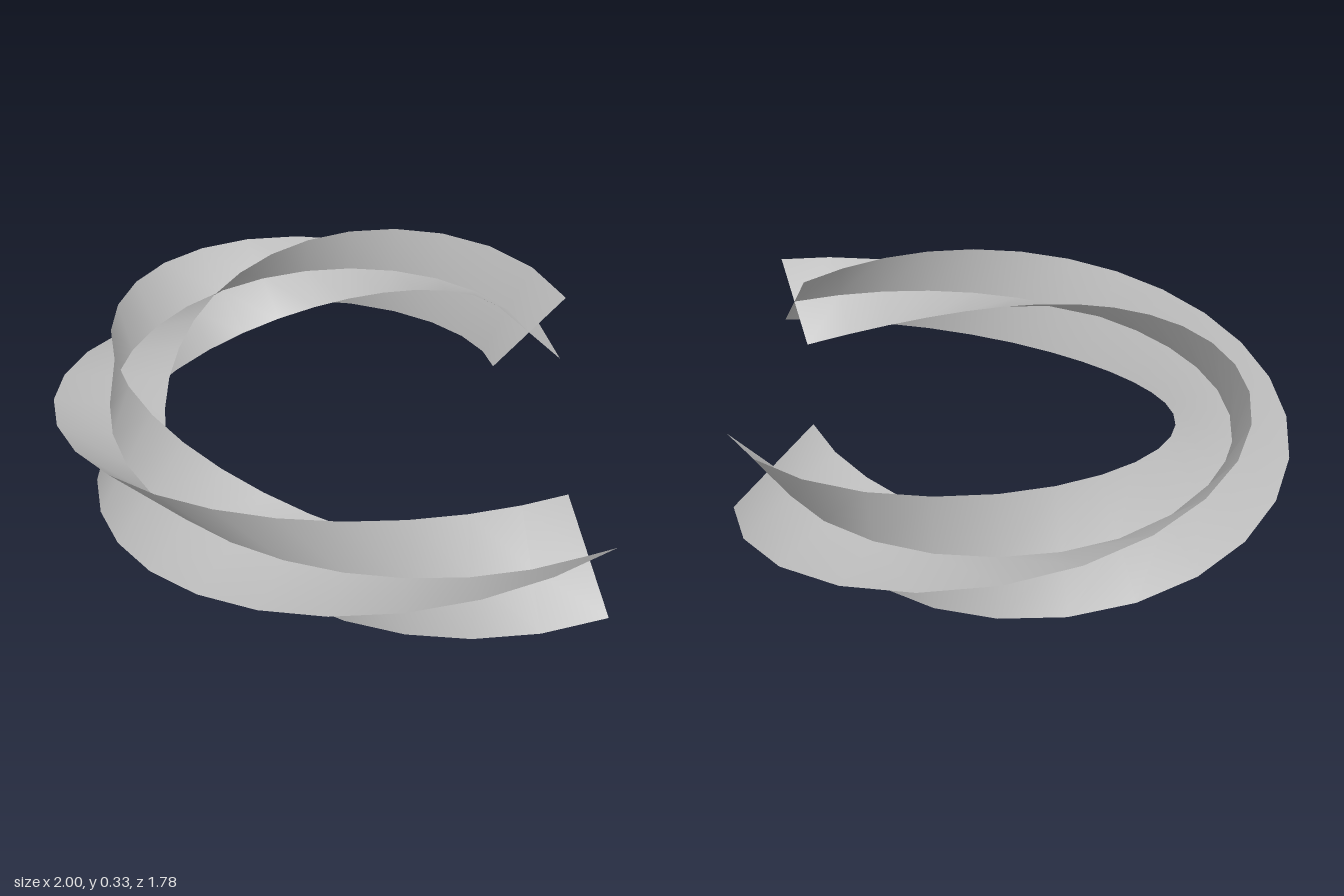
import * as THREE from 'three';

const SEGMENTS = 24;
const ARM = 0.165;              // length of each arm of the cross section
const MID_Y = 0.165;            // height of the centre line
const CENTRE = { x: -0.13, z: -0.155 };
const R_START = 1.057, R_END = 0.533;
const A_START = THREE.MathUtils.degToRad(16.2);
const SWEEP = THREE.MathUtils.degToRad(277);

// Flat inward spiral at even arc lengths: position and sideways direction
function spiral(u) {
  const r0 = Math.sqrt(R_START ** 2 + (R_END ** 2 - R_START ** 2) * u);
  const k = (R_START - r0) / (R_START - R_END);
  const angle = A_START + k * SWEEP;
  const r = r0 - 0.014 * Math.sin(Math.PI * k);
  const side = angle + Math.atan((R_START - R_END) / SWEEP / r);
  return {
    x: CENTRE.x + r * Math.cos(angle),
    z: CENTRE.z + r * Math.sin(angle),
    nx: Math.cos(side),
    nz: Math.sin(side),
  };
}

// One twisted strip: a plane bent along the spiral, turning 270 degrees
function twistedStrip(phase) {
  const geometry = new THREE.PlaneGeometry(2 * ARM, 1, 2, SEGMENTS);
  const pos = geometry.attributes.position;
  for (let i = 0; i < pos.count; i++) {
    const across = pos.getX(i);
    const u = pos.getY(i) + 0.5;
    const p = spiral(u);
    const twist = phase - 1.5 * Math.PI * u;
    const out = across * Math.cos(twist);
    pos.setXYZ(i, p.x + p.nx * out, MID_Y + across * Math.sin(twist), p.z + p.nz * out);
  }
  geometry.computeVertexNormals();
  return geometry;
}

export function createModel() {
  const group = new THREE.Group();
  group.name = 'twistedCrossArc';
  const grey = new THREE.MeshStandardMaterial({ color: 0xbbbbbb, side: THREE.DoubleSide });
  grey.name = 'grey';

  // Two strips crossing at right angles along the centre line
  [['firstStrip', 0.75 * Math.PI], ['secondStrip', 0.25 * Math.PI]].forEach(([name, phase]) => {
    const strip = new THREE.Mesh(twistedStrip(phase), grey);
    strip.name = name;
    group.add(strip);
  });
  return group;
}
